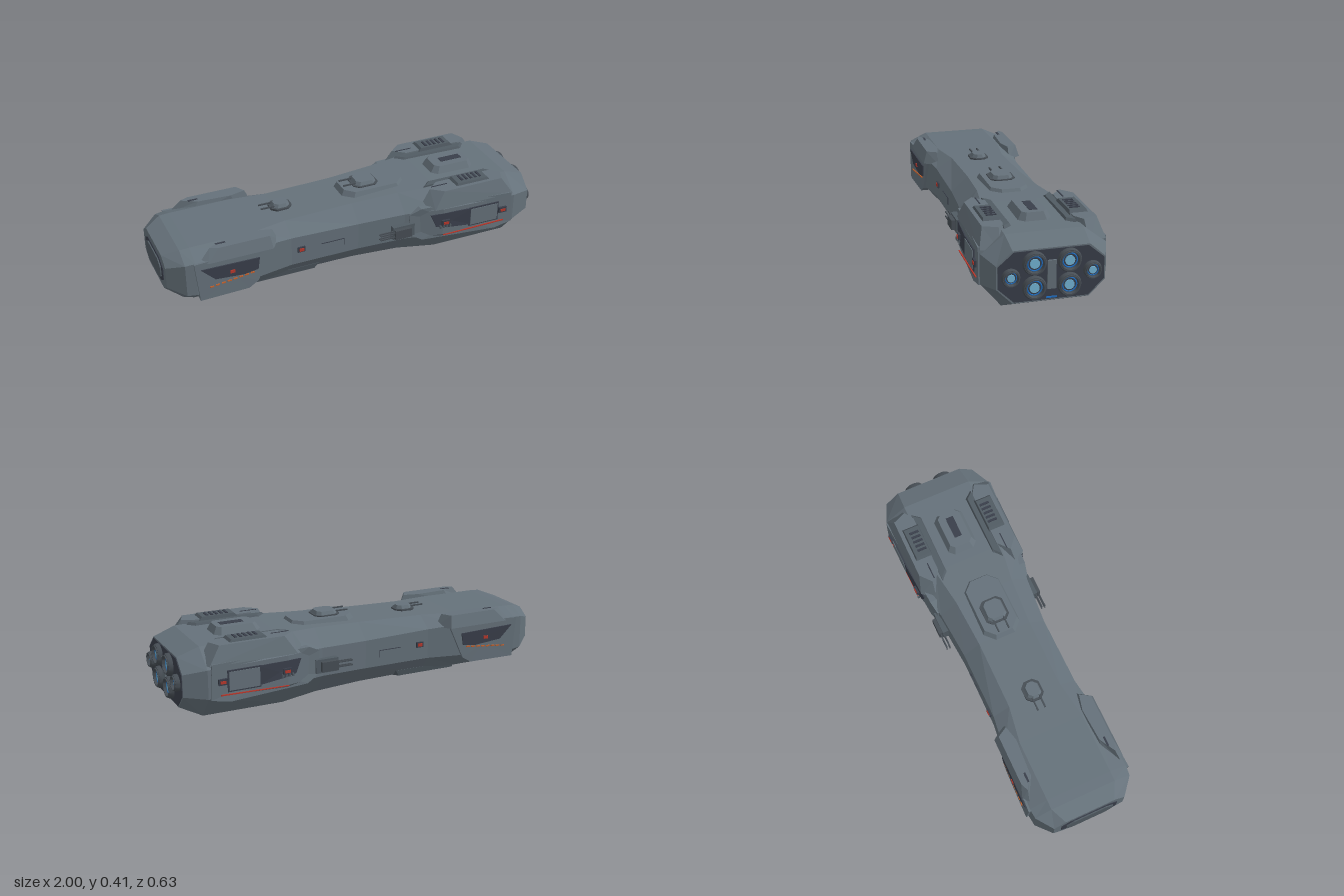
import * as THREE from 'three';
import { toCreasedNormals } from 'three/addons/utils/BufferGeometryUtils.js';

const mat = (name, color) => Object.assign(new THREE.MeshStandardMaterial({ color }), { name });

export function createModel() {
  const root = new THREE.Group();
  root.name = 'starship';
  const hull = mat('hull grey', 0x65717a), trim = mat('trim grey', 0x515b63), dark = mat('dark panel', 0x393e4a),
    metal = mat('gun metal', 0x474e55), blue = mat('engine blue', 0x1f6fc4), glow = mat('engine glow', 0x74b6d8),
    red = mat('red light', 0xb8382c), orange = mat('orange light', 0xc0602c);

  const add = (name, geo, m, parent = root) => {
    const mesh = new THREE.Mesh(geo, m);
    mesh.name = name;
    parent.add(mesh);
    return mesh;
  };
  const box = (name, m, x, y, z, w, h, d) =>
    add(name, new THREE.BoxGeometry(w, h, d), m).position.set(x, y, z);

  // Closed flat-faced solid through rings of equal point count, always facing outwards
  function loft(name, m, rings) {
    const tris = [], n = rings[0].length;
    const centre = r => r.reduce((a, p) => a.map((v, i) => v + p[i] / n), [0, 0, 0]);
    for (let k = 0; k < rings.length - 1; k++)
      for (let i = 0; i < n; i++) {
        const a = rings[k], b = rings[k + 1], j = (i + 1) % n;
        tris.push([a[i], a[j], b[j]], [a[i], b[j], b[i]]);
      }
    const first = rings[0], last = rings[rings.length - 1], c0 = centre(first), c1 = centre(last);
    for (let i = 0; i < n; i++) {
      const j = (i + 1) % n;
      tris.push([c0, first[j], first[i]], [c1, last[i], last[j]]);
    }
    let volume = 0;
    const A = new THREE.Vector3(), B = new THREE.Vector3(), C = new THREE.Vector3();
    for (const [a, b, c] of tris)
      volume += A.fromArray(a).sub(C.fromArray(c0)).dot(
        B.fromArray(b).sub(C).cross(new THREE.Vector3().fromArray(c).sub(C)));
    if (volume < 0) tris.forEach(t => t.reverse());
    const geo = new THREE.BufferGeometry();
    geo.setAttribute('position', new THREE.Float32BufferAttribute(tris.flat(2), 3));
    geo.computeVertexNormals();
    return add(name, geo, m);
  }

  // Hull stations: x, top half width, top y, side z, side top y, side bottom y, bottom half width, bottom y
  const stations = [
    [-0.99, 0.13, 0.315, 0.19, 0.275, 0.165, 0.13, 0.125],
    [-0.91, 0.17, 0.345, 0.255, 0.305, 0.135, 0.19, 0.085],
    [-0.86, 0.17, 0.348, 0.26, 0.31, 0.13, 0.19, 0.07],
    [-0.55, 0.17, 0.35, 0.25, 0.31, 0.14, 0.19, 0.07],
    [-0.36, 0.14, 0.355, 0.225, 0.3, 0.145, 0.16, 0.062],
    [0.0, 0.14, 0.365, 0.225, 0.29, 0.145, 0.15, 0.052],
    [0.25, 0.155, 0.375, 0.245, 0.295, 0.15, 0.16, 0.042],
    [0.45, 0.185, 0.38, 0.288, 0.3, 0.15, 0.2, 0.032],
    [0.86, 0.185, 0.375, 0.295, 0.29, 0.145, 0.2, 0.032],
    [0.97, 0.178, 0.336, 0.252, 0.27, 0.16, 0.178, 0.086],
  ];
  const ring = ([x, th, ty, sz, st, sb, bh, by]) => [
    [x, ty, th], [x, st, sz], [x, sb, sz], [x, by, bh], [x, by, -bh], [x, sb, -sz], [x, st, -sz], [x, ty, -th]];
  loft('hull', hull, stations.map(ring));
  const sideZ = x => {
    const i = Math.max(1, stations.findIndex(s => s[0] >= x)), a = stations[i - 1], b = stations[i];
    return a[3] + (b[3] - a[3]) * (x - a[0]) / (b[0] - a[0]);
  };

  // Plate on the hull side, following its width
  const sidePlate = (name, m, s, poly, off, thick = 0.006) =>
    loft(name, m, [off - thick, off].map(o => poly.map(([x, y]) => [x, y, s * (sideZ(x) + o)])));
  // Deck block between an outline at y0 and another at y1
  const deck = (name, m, base, y0, top, y1, s = 1) =>
    loft(name, m, [base.map(([x, z]) => [x, y0, s * z]), top.map(([x, z]) => [x, y1, s * z])]);
  const oct = (x0, x1, h, c) => [[x0, h - c], [x0 + c, h], [x1 - c, h], [x1, h - c],
    [x1, c - h], [x1 - c, -h], [x0 + c, -h], [x0, c - h]];
  const rect = (x0, x1, y0, y1) => [[x0, y0], [x1, y0], [x1, y1], [x0, y1]];

  // Nose cap
  const nose = [[-0.994, 0.1, 0.285, 0.15, 0.255, 0.185, 0.1, 0.155], [-0.997, 0.085, 0.272, 0.125, 0.248, 0.192, 0.085, 0.168]];
  loft('noseRecess', dark, [ring([-0.985, ...nose[0].slice(1)]), ring(nose[0])]);
  loft('nosePanel', trim, [ring([-0.99, ...nose[1].slice(1)]), ring([-1, ...nose[1].slice(1)])]);

  // Keel, stepping down under the stern half
  loft('keel', trim, [[-0.2, 0.07, 0.052], [0.12, 0.06, 0.02], [0.42, 0.05, 0], [0.6, 0.05, 0.008], [0.76, 0.045, 0.03]]
    .map(([x, y0, y1]) => [[x, y0, 0.1], [x, (y0 + y1) / 2, 0.094], [x, y1, 0.07],
      [x, y1, -0.07], [x, (y0 + y1) / 2, -0.094], [x, y0, -0.1]]));

  for (const s of [1, -1]) {
    // Bow shoulder and cheek armour
    deck('bowShoulder', hull, [[-0.84, 0.25], [-0.74, 0.18], [-0.5, 0.18], [-0.42, 0.2], [-0.47, 0.272], [-0.8, 0.272]], 0.3,
      [[-0.78, 0.235], [-0.7, 0.19], [-0.53, 0.18], [-0.45, 0.2], [-0.48, 0.252], [-0.74, 0.252]], 0.364, s);
    sidePlate('bowCheek', hull, s, [[-0.87, 0.31], [-0.47, 0.315], [-0.55, 0.13], [-0.6, 0.1], [-0.85, 0.1]], 0.012, 0.05);
    sidePlate('bowWindow', dark, s, [[-0.84, 0.275], [-0.54, 0.262], [-0.55, 0.2], [-0.62, 0.19], [-0.77, 0.205]], 0.016);
    sidePlate('bowRedLight', red, s, rect(-0.695, -0.67, 0.218, 0.234), 0.02);
    for (let i = 0; i < 8; i++) {
      const x = -0.8 + i * 0.03, y = 0.163 + i * 0.003;
      sidePlate('bowRunningLight', orange, s, rect(x, x + 0.02, y, y + 0.006), 0.016);
    }
    box('bowSlot', dark, -0.72, 0.364, s * 0.215, 0.05, 0.004, 0.01);
    // Waist panels and light
    sidePlate('waistLightMount', dark, s, rect(-0.33, -0.29, 0.212, 0.24), 0.008, 0.012);
    sidePlate('waistRedLight', red, s, rect(-0.322, -0.298, 0.218, 0.234), 0.012);
    sidePlate('waistSeam', dark, s, rect(-0.2, -0.08, 0.226, 0.229), 0.003);
    sidePlate('waistSeam', dark, s, rect(-0.08, -0.077, 0.19, 0.229), 0.003);

    // Stern shoulder with vents
    deck('sternShoulder', hull, [[0.34, 0.23], [0.38, 0.165], [0.82, 0.165], [0.88, 0.21], [0.85, 0.297], [0.4, 0.292]], 0.305,
      [[0.4, 0.22], [0.46, 0.168], [0.77, 0.168], [0.82, 0.2], [0.79, 0.27], [0.46, 0.27]], 0.395, s);
    deck('ventBlock', trim, [[0.53, 0.16], [0.74, 0.16], [0.74, 0.255], [0.53, 0.255]], 0.385,
      [[0.55, 0.165], [0.72, 0.165], [0.72, 0.245], [0.55, 0.245]], 0.406, s);
    for (let i = 0; i < 5; i++) box('vent', dark, 0.585 + i * 0.026, 0.407, s * 0.2, 0.012, 0.006, 0.05);
    deck('shoulderStep', trim, [[0.4, 0.12], [0.78, 0.12], [0.82, 0.17], [0.36, 0.17]], 0.36,
      [[0.44, 0.135], [0.76, 0.135], [0.79, 0.17], [0.4, 0.17]], 0.388, s);
    box('shoulderSlit', dark, 0.46, 0.395, s * 0.205, 0.09, 0.004, 0.006);

    // Stern cheek armour, window and lights
    sidePlate('sternCheek', hull, s, [[0.27, 0.29], [0.33, 0.32], [0.84, 0.315], [0.85, 0.14], [0.75, 0.12], [0.34, 0.135], [0.28, 0.17]], 0.007, 0.05);
    sidePlate('sternWindow', dark, s, [[0.38, 0.275], [0.61, 0.275], [0.61, 0.178], [0.47, 0.195], [0.41, 0.205]], 0.011);
    sidePlate('sternPanelFrame', dark, s, rect(0.595, 0.765, 0.17, 0.277), 0.01);
    sidePlate('sternPanel', hull, s, rect(0.602, 0.758, 0.177, 0.27), 0.013);
    for (const x of [0.46, 0.79]) {
      sidePlate('lightMount', dark, s, rect(x - 0.022, x + 0.022, 0.21, 0.24), 0.016, 0.014);
      sidePlate('sternRedLight', red, s, rect(x - 0.014, x + 0.014, 0.218, 0.232), 0.019);
    }
    for (let i = 0; i < 4; i++) box('windowFin', trim, 0.43 + i * 0.018, 0.205, s * 0.3, 0.009, 0.014, 0.01);
    sidePlate('sternRedStripe', red, s, [[0.45, 0.148], [0.8, 0.155], [0.8, 0.161], [0.45, 0.152]], 0.01);

    // Side gun turret
    box('gunMount', trim, 0.235, 0.21, s * 0.25, 0.12, 0.07, 0.04);
    box('gunBody', metal, 0.225, 0.21, s * 0.272, 0.09, 0.05, 0.035);
    for (const y of [0.198, 0.222])
      for (const z of [0.264, 0.28]) box('gunBarrel', metal, 0.145, y, s * z, 0.09, 0.006, 0.006);

    // Belly plates and hatches
    deck('bellyPlate', trim, [[-0.55, 0.11], [-0.2, 0.11], [-0.16, 0.14], [-0.2, 0.18], [-0.55, 0.18]], 0.085,
      [[-0.54, 0.12], [-0.22, 0.12], [-0.19, 0.14], [-0.22, 0.172], [-0.54, 0.172]], 0.053, s);
    box('bellyStrip', dark, -0.38, 0.053, s * 0.145, 0.28, 0.004, 0.018);
    box('bowBellyStrip', dark, -0.7, 0.069, s * 0.15, 0.22, 0.006, 0.02);
    for (const x of [0.5, 0.75]) {
      box('bellyPad', hull, x, 0.036, s * 0.128, 0.13, 0.014, 0.095);
      box('bellyHatch', dark, x, 0.029, s * 0.128, 0.07, 0.004, 0.05);
    }
  }

  // Dorsal decks
  deck('midDeck', hull, oct(-0.02, 0.34, 0.105, 0.05), 0.355, oct(0, 0.32, 0.09, 0.045), 0.392);
  deck('sternDeck', hull, oct(0.49, 0.74, 0.083, 0.03), 0.37, oct(0.52, 0.72, 0.06, 0.02), 0.413);
  box('sternDeckSlot', dark, 0.63, 0.412, 0, 0.12, 0.006, 0.04);
  // Dorsal turrets
  const turret = (x0, x1, h, y) => {
    deck('turretBase', metal, oct(x0 - 0.008, x1 + 0.008, h + 0.008, 0.025), y - 0.03, oct(x0 - 0.008, x1 + 0.008, h + 0.008, 0.025), y + 0.005);
    deck('turretBody', hull, oct(x0, x1, h, 0.022), y, oct(x0 + 0.012, x1 - 0.008, h - 0.01, 0.018), y + 0.022);
    for (const z of [-1, 1]) box('turretBarrel', metal, x0 - 0.025, y + 0.012, z * h * 0.5, 0.07, 0.007, 0.007);
  };
  turret(-0.38, -0.285, 0.04, 0.36);
  turret(0.065, 0.185, 0.055, 0.392);

  // Stern plate
  loft('enginePanel', dark, [ring([0.96, 0.172, 0.33, 0.246, 0.267, 0.163, 0.172, 0.092]), ring([0.973, 0.172, 0.33, 0.246, 0.267, 0.163, 0.172, 0.092])]);
  box('enginePillar', hull, 0.974, 0.212, 0, 0.016, 0.136, 0.04);
  box('sternBlueLight', blue, 0.974, 0.102, 0, 0.008, 0.007, 0.05);

  // Engines
  const engine = (y, z, r) => {
    const g = new THREE.Group();
    g.name = 'engine';
    const pts = [[1, 0], [1, 0.025], [0.92, 0.034], [0.86, 0.034], [0.84, 0.04], [0.74, 0.04], [0.68, 0.022]]
      .map(([k, h]) => new THREE.Vector2(k * r, h));
    add('nozzle', toCreasedNormals(new THREE.LatheGeometry(pts, 32), 0.5), metal, g);
    add('engineWell', new THREE.CylinderGeometry(0.72 * r, 0.72 * r, 0.02, 32), dark, g).position.y = 0.012;
    add('blueRing', new THREE.TorusGeometry(0.6 * r, 0.06 * r, 8, 32).rotateX(Math.PI / 2), blue, g).position.y = 0.024;
    add('glowCore', new THREE.CylinderGeometry(0.41 * r, 0.41 * r, 0.02, 32), glow, g).position.y = 0.018;
    g.rotation.z = -Math.PI / 2;
    g.position.set(0.96, y, z);
    root.add(g);
  };
  for (const s of [1, -1]) {
    engine(0.273, s * 0.081, 0.055);
    engine(0.157, s * 0.081, 0.055);
    engine(0.215, s * 0.189, 0.042);
  }
  return root;
}
